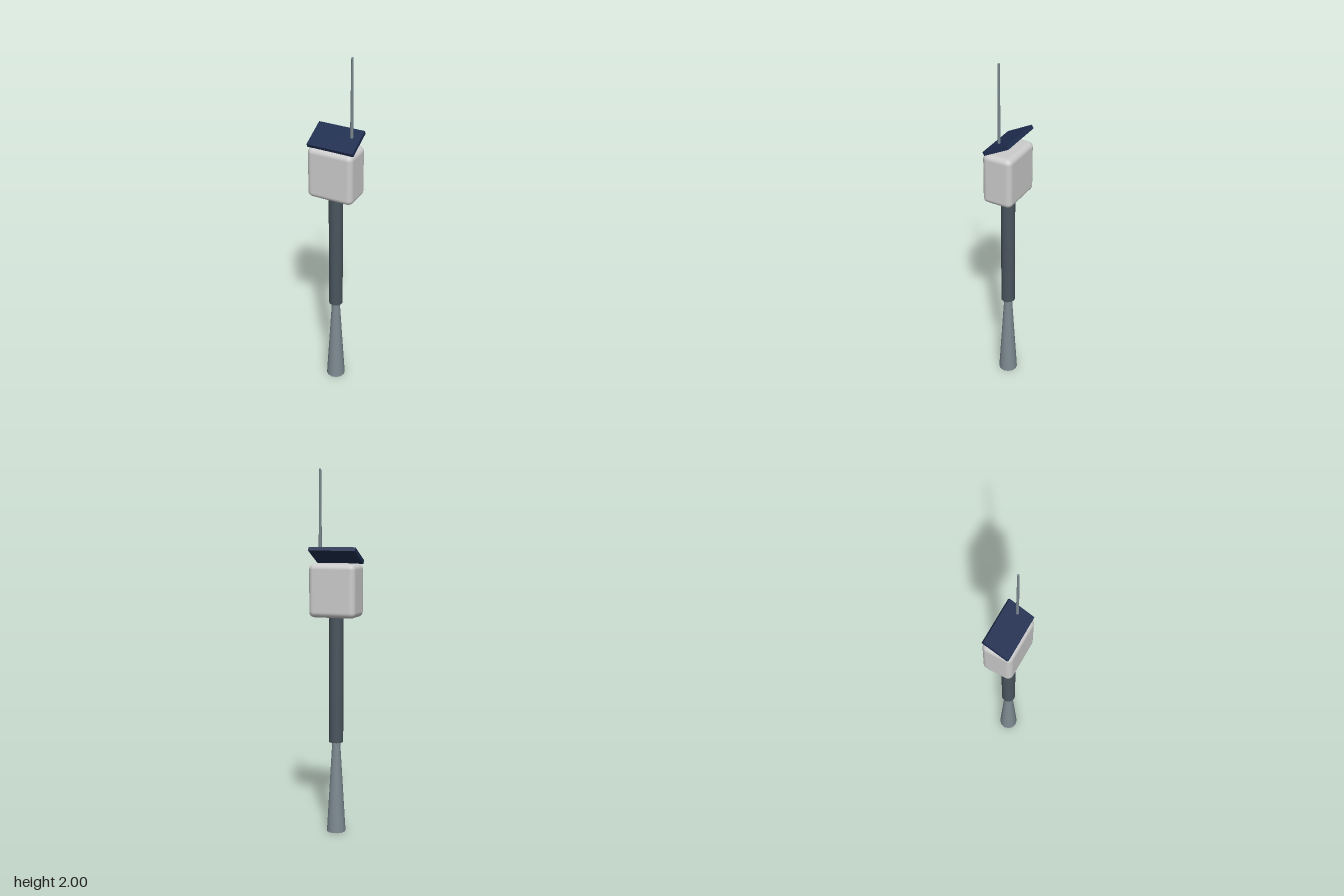
import * as THREE from 'three';
import { RoundedBoxGeometry } from 'three/addons/geometries/RoundedBoxGeometry.js';

export function createModel() {
  const group = new THREE.Group();

  function add(name, geometry, color, x, y, z) {
    const mesh = new THREE.Mesh(geometry, new THREE.MeshStandardMaterial({ color }));
    mesh.name = name;
    mesh.position.set(x, y, z);
    group.add(mesh);
    return mesh;
  }

  // Upright round part between two heights
  function rod(name, rTop, rBottom, y0, y1, sides, color, x = 0) {
    return add(name, new THREE.CylinderGeometry(rTop, rBottom, y1 - y0, sides), color, x, (y0 + y1) / 2, 0);
  }

  // Tapered foot and the thicker pole above it
  rod('taperedBase', 0.022, 0.053, 0, 0.515, 12, 0x7d8a92);
  rod('pole', 0.039, 0.039, 0.51, 1.22, 16, 0x4a555e);

  // Rounded equipment housing
  add('housing', new RoundedBoxGeometry(0.265, 0.29, 0.172, 3, 0.03), 0xcccccc, 0, 1.35, -0.001);

  // Panel on the roof, tilted down towards the front
  const panel = add('solarPanel', new THREE.BoxGeometry(0.267, 0.022, 0.16), 0x1f2e50, 0, 1.539, -0.001);
  panel.rotation.x = 0.48;

  // Thin antenna beside the middle of the panel
  rod('antenna', 0.006, 0.009, 1.565, 2, 6, 0x7d8a92, 0.092);

  return group;
}
